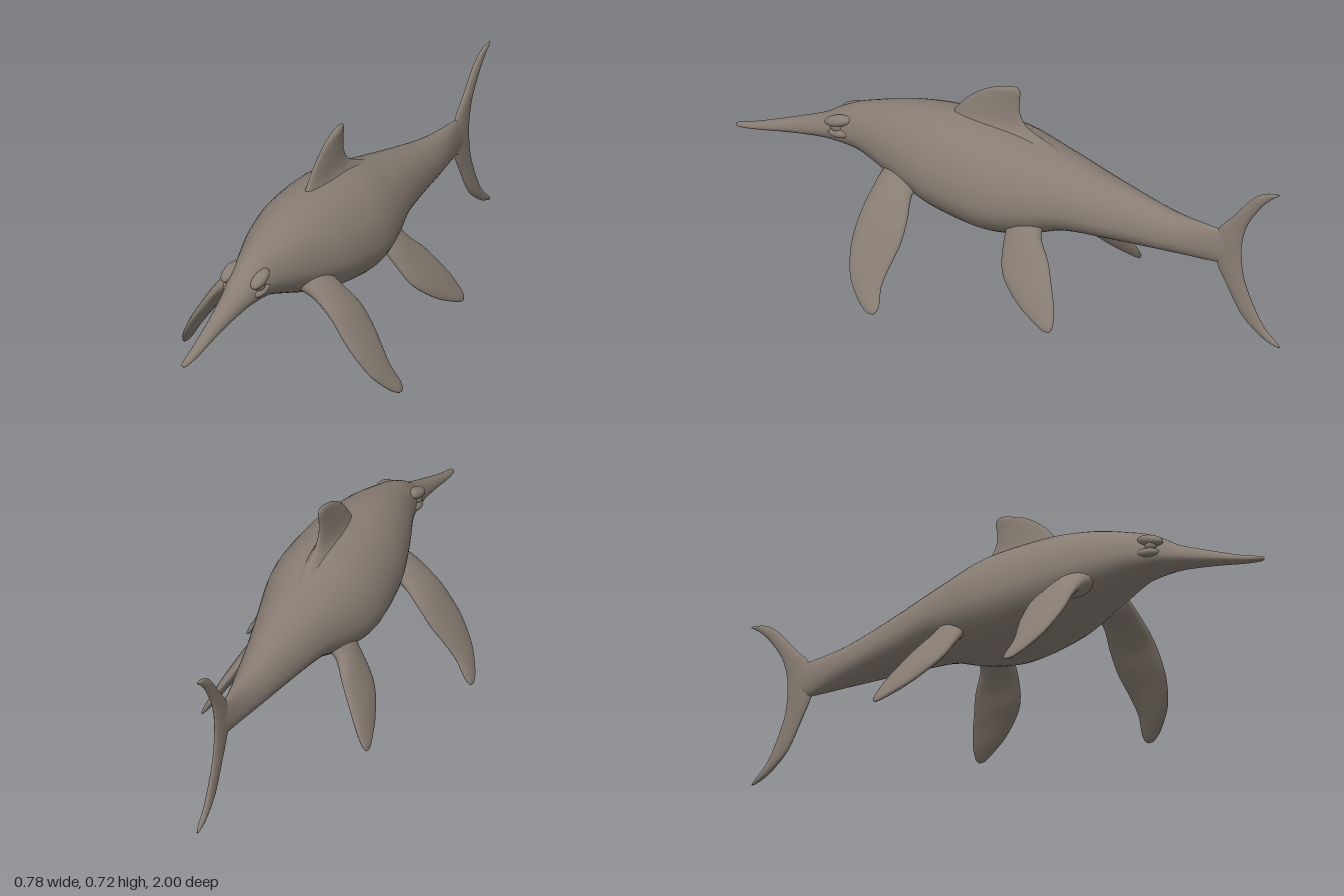
import * as THREE from 'three';

const skin = new THREE.MeshStandardMaterial({ color: 0x887d73 });
skin.name = 'greyBrownSkin';

// Smoothly resample a list of stations (arrays of equal length)
function resample(keys, steps) {
  const out = [], n = keys.length;
  for (let i = 0; i < n - 1; i++) {
    const [a, b, c, d] = [keys[Math.max(i - 1, 0)], keys[i], keys[i + 1], keys[Math.min(i + 2, n - 1)]];
    for (let s = 0; s < steps; s++) {
      const t = s / steps;
      out.push(b.map((v, k) => v + 0.5 * t * (c[k] - a[k] + t * (2 * a[k] - 5 * v + 4 * c[k] - d[k] + t * (3 * (v - c[k]) + d[k] - a[k])))));
    }
  }
  out.push(keys[n - 1]);
  return out;
}

// Skin a list of closed rings, each an array of Vector3, and close both ends
function loft(rings) {
  const m = rings[0].length, pos = [], index = [];
  rings.forEach(r => r.forEach(p => pos.push(p.x, p.y, p.z)));
  for (let i = 0; i < rings.length - 1; i++) {
    for (let j = 0; j < m; j++) {
      const a = i * m + j, b = i * m + (j + 1) % m;
      index.push(a, b, a + m, b, b + m, a + m);
    }
  }
  [0, rings.length - 1].forEach((r, end) => {
    const c = rings[r].reduce((s, p) => s.add(p), new THREE.Vector3()).divideScalar(m);
    const ci = pos.length / 3;
    pos.push(c.x, c.y, c.z);
    for (let j = 0; j < m; j++) {
      const a = r * m + j, b = r * m + (j + 1) % m;
      if (end) index.push(ci, a, b); else index.push(ci, b, a);
    }
  });
  const g = new THREE.BufferGeometry();
  g.setAttribute('position', new THREE.Float32BufferAttribute(pos, 3));
  g.setIndex(index);
  g.computeVertexNormals();
  return g;
}

function add(group, name, geometry) {
  const mesh = new THREE.Mesh(geometry, skin);
  mesh.name = name;
  group.add(mesh);
  return mesh;
}

// Body stations: z, top, bottom, half width
function bodyGeometry() {
  const keys = [
    [-0.85, 0.39, 0.345, 0.004], [-0.81, 0.418, 0.312, 0.012], [-0.75, 0.426, 0.302, 0.022],
    [-0.6, 0.437, 0.3, 0.056], [-0.4, 0.482, 0.295, 0.095], [-0.25, 0.52, 0.288, 0.13],
    [-0.15, 0.545, 0.255, 0.158], [-0.05, 0.57, 0.23, 0.182], [0.05, 0.58, 0.226, 0.19],
    [0.2, 0.583, 0.248, 0.176], [0.3, 0.575, 0.278, 0.153], [0.4, 0.557, 0.315, 0.122],
    [0.5, 0.527, 0.35, 0.086], [0.56, 0.506, 0.358, 0.069], [0.62, 0.474, 0.36, 0.057],
    [0.68, 0.436, 0.356, 0.044], [0.8, 0.385, 0.335, 0.028], [0.92, 0.337, 0.31, 0.018],
    [0.985, 0.317, 0.3, 0.011], [1, 0.31, 0.303, 0.004],
  ];
  return loft(resample(keys, 4).map(([z, top, bottom, w]) => {
    const mid = bottom + 0.41 * (top - bottom), ring = [];
    for (let j = 0; j < 40; j++) {
      const a = j / 40 * Math.PI * 2, s = Math.sin(a);
      ring.push(new THREE.Vector3(w * Math.cos(a), mid + s * (s > 0 ? top - mid : mid - bottom), z));
    }
    return ring;
  }));
}

// Fin stations: x, y, leading z, trailing z, half thickness
function finGeometry(keys, side = 1) {
  const st = resample(keys, 4).map(k => [k[0] * side, ...k.slice(1)]);
  return loft(st.map(([x, y, lead, trail, t], i) => {
    const p = st[Math.max(i - 1, 0)], q = st[Math.min(i + 1, st.length - 1)];
    const u = new THREE.Vector2(p[1] - q[1], q[0] - p[0]).normalize();
    const ring = [];
    for (let j = 0; j < 24; j++) {
      const a = j / 24 * Math.PI * 2, c = t * Math.cos(a);
      ring.push(new THREE.Vector3(x + u.x * c, y + u.y * c, (lead + trail) / 2 + (lead - trail) / 2 * Math.sin(a)));
    }
    return ring;
  }));
}

const frontFlipper = [
  [0.09, 0.36, 0.4, 0.25, 0.045], [0.15, 0.328, 0.402, 0.265, 0.031], [0.215, 0.268, 0.411, 0.245, 0.023],
  [0.262, 0.203, 0.414, 0.243, 0.021], [0.3, 0.148, 0.406, 0.255, 0.018], [0.34, 0.085, 0.381, 0.266, 0.014],
  [0.37, 0.036, 0.338, 0.257, 0.01], [0.384, 0.013, 0.308, 0.26, 0.007], [0.39, 0.004, 0.288, 0.27, 0.002],
];
const rearFlipper = [
  [0.08, 0.345, -0.07, -0.2, 0.045], [0.13, 0.3, -0.073, -0.197, 0.03], [0.175, 0.24, -0.082, -0.25, 0.022],
  [0.21, 0.185, -0.1, -0.282, 0.02], [0.235, 0.145, -0.135, -0.304, 0.017], [0.26, 0.1, -0.195, -0.321, 0.013],
  [0.279, 0.067, -0.262, -0.325, 0.008], [0.286, 0.053, -0.295, -0.316, 0.002],
];
const dorsalFin = [
  [0, 0.53, 0.23, -0.2, 0.055], [0, 0.573, 0.205, -0.1, 0.03], [0, 0.6, 0.186, -0.062, 0.02],
  [0, 0.64, 0.152, -0.042, 0.015], [0, 0.68, 0.102, -0.042, 0.012], [0, 0.705, 0.055, -0.045, 0.011],
  [0, 0.72, 0.008, -0.041, 0.008], [0, 0.726, -0.012, -0.032, 0.002],
];
const tailFin = [
  [0, 0.055, -0.985, -1, 0.003], [0, 0.07, -0.945, -0.987, 0.008], [0, 0.1, -0.9, -0.952, 0.01],
  [0, 0.145, -0.853, -0.92, 0.011], [0, 0.235, -0.802, -0.878, 0.011], [0, 0.3, -0.768, -0.862, 0.012],
  [0, 0.37, -0.752, -0.858, 0.013], [0, 0.43, -0.778, -0.868, 0.012], [0, 0.48, -0.825, -0.888, 0.011],
  [0, 0.55, -0.883, -0.936, 0.01], [0, 0.585, -0.922, -0.972, 0.008], [0, 0.6, -0.953, -0.993, 0.006],
  [0, 0.607, -0.985, -1, 0.002],
];

export function createModel() {
  const model = new THREE.Group();
  model.name = 'marineReptile';
  add(model, 'body', bodyGeometry());
  add(model, 'dorsalFin', finGeometry(dorsalFin));
  add(model, 'tailFin', finGeometry(tailFin));

  for (const [side, label] of [[1, 'left'], [-1, 'right']]) {
    add(model, label + 'FrontFlipper', finGeometry(frontFlipper, side));
    add(model, label + 'RearFlipper', finGeometry(rearFlipper, side));

    // Raised brow, eyeball and cheek around each eye socket
    const bump = (name, x, y, z, rx, ry, rz, tilt) => {
      const mesh = add(model, label + name, new THREE.SphereGeometry(1, 24, 16));
      mesh.position.set(x * side, y, z);
      mesh.scale.set(rx, ry, rz);
      mesh.rotation.x = tilt;
    };
    bump('Brow', 0.054, 0.456, 0.595, 0.023, 0.019, 0.05, 0.3);
    bump('Eye', 0.052, 0.436, 0.6, 0.02, 0.019, 0.024, 0);
    bump('Cheek', 0.053, 0.415, 0.585, 0.022, 0.016, 0.045, 0.15);
  }
  return model;
}
